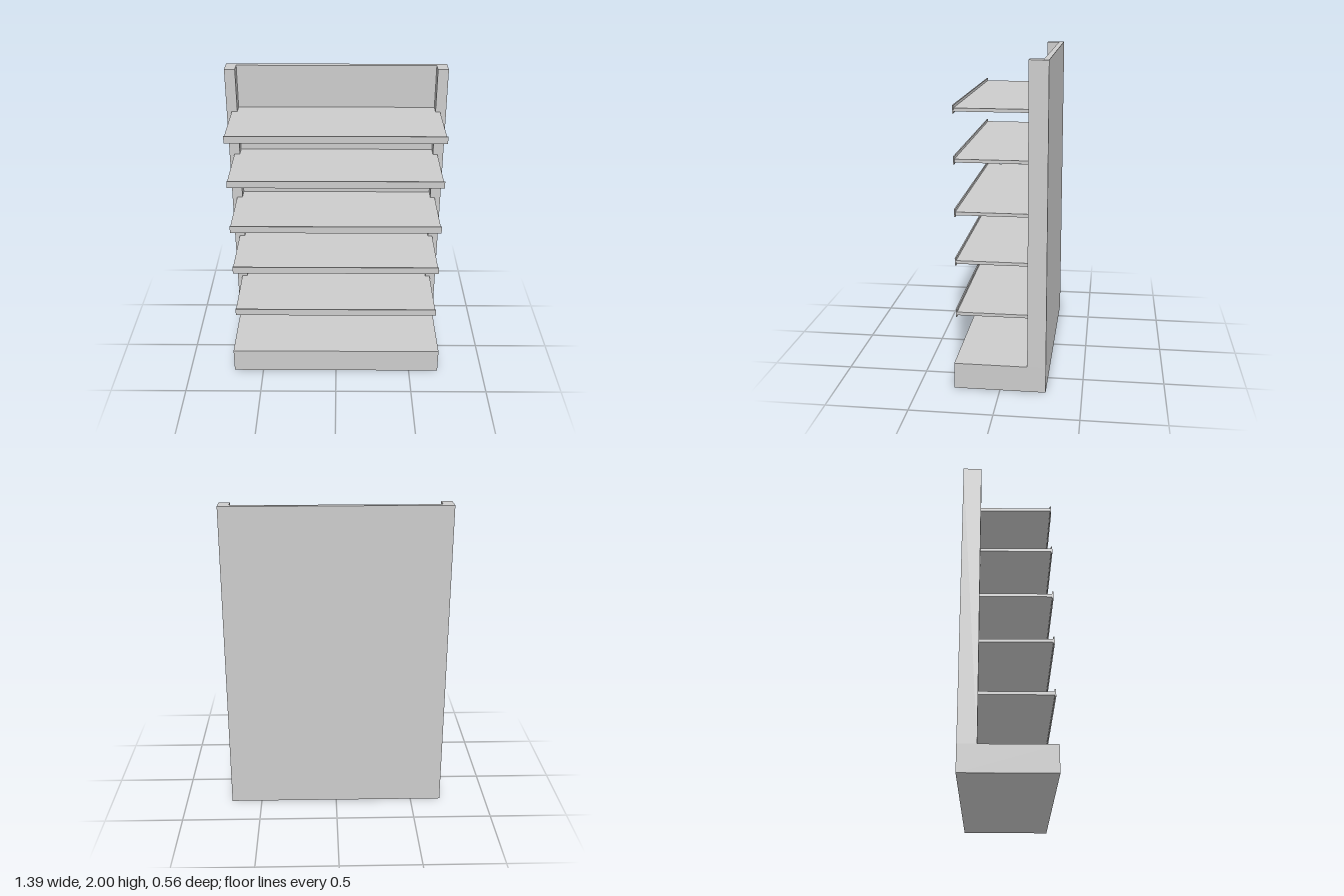
import * as THREE from 'three';

const material = new THREE.MeshStandardMaterial({ color: 0xcccccc, flatShading: true });

// Box given by its minimum and maximum corners
function addBox(parent, name, [x0, y0, z0], [x1, y1, z1]) {
  const mesh = new THREE.Mesh(new THREE.BoxGeometry(x1 - x0, y1 - y0, z1 - z0), material);
  mesh.position.set((x0 + x1) / 2, (y0 + y1) / 2, (z0 + z1) / 2);
  mesh.name = name;
  parent.add(mesh);
}

const HALF_W = 0.697, HALF_D = 0.28, HEIGHT = 2, BASE_H = 0.163;
const POST_X = 0.63, POST_Z = -0.167, PANEL_Z = -0.247;

export function createModel() {
  const model = new THREE.Group();
  model.name = 'shelvingUnit';

  // Plinth
  addBox(model, 'base', [-HALF_W, 0, -HALF_D], [HALF_W, BASE_H, HALF_D]);

  // Back panel with side posts: a U-shaped plan (x, -z) extruded upwards
  const plan = new THREE.Shape([
    [-HALF_W, HALF_D], [-HALF_W, -POST_Z], [-POST_X, -POST_Z], [-POST_X, -PANEL_Z],
    [POST_X, -PANEL_Z], [POST_X, -POST_Z], [HALF_W, -POST_Z], [HALF_W, HALF_D],
  ].map(([x, y]) => new THREE.Vector2(x, y)));
  const frameGeometry = new THREE.ExtrudeGeometry(plan, { depth: HEIGHT - BASE_H, bevelEnabled: false });
  frameGeometry.rotateX(-Math.PI / 2);
  const frame = new THREE.Mesh(frameGeometry, material);
  frame.name = 'backFrame';
  frame.position.y = BASE_H;
  model.add(frame);

  // Shelves: a thin board running back to the panel, with a raised front lip
  [0.477, 0.805, 1.105, 1.42, 1.715].forEach((y, i) => {
    const shelf = new THREE.Group();
    shelf.name = `shelf${i + 1}`;
    shelf.position.y = y;
    addBox(shelf, 'board', [-0.665, -0.013, PANEL_Z], [0.659, 0.007, 0.263]);
    addBox(shelf, 'frontLip', [-0.665, -0.023, 0.263], [0.662, 0.023, 0.271]);
    model.add(shelf);
  });

  return model;
}
